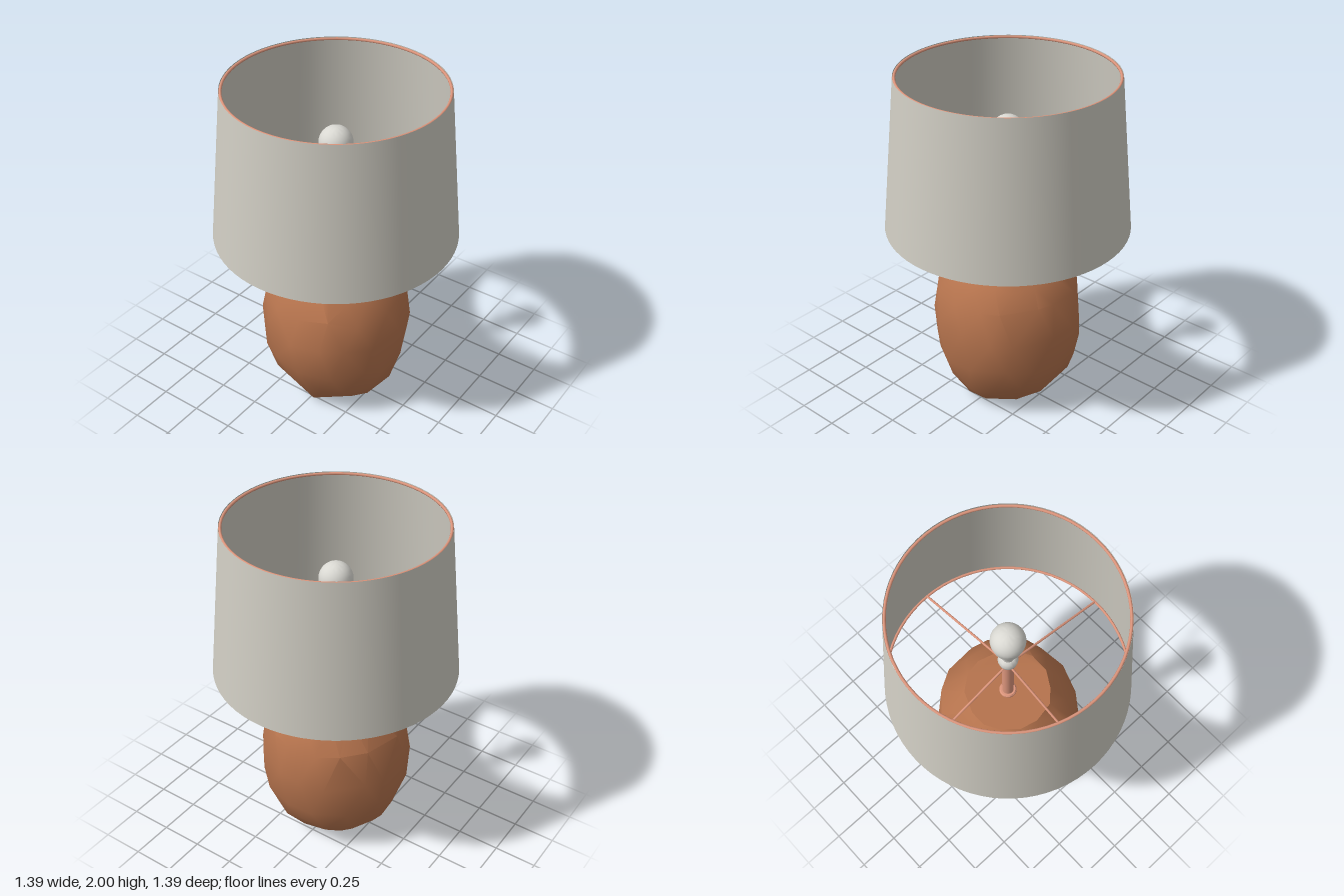
import * as THREE from 'three';
import { toCreasedNormals } from 'three/addons/utils/BufferGeometryUtils.js';
import { ConvexGeometry } from 'three/addons/geometries/ConvexGeometry.js';

export function createModel() {
  const lamp = new THREE.Group();
  lamp.name = 'tableLamp';

  const material = (name, color, side = THREE.FrontSide) => {
    const m = new THREE.MeshStandardMaterial({ color, side });
    m.name = name;
    return m;
  };
  const clay = material('terracotta', 0xb5734d);
  const copper = material('copper', 0xdc957c);
  const linen = material('linen', 0xcfccc2, THREE.DoubleSide);
  const glass = material('frostedGlass', 0xd9d8d2);

  const add = (name, geometry, mat) => {
    const mesh = new THREE.Mesh(geometry, mat);
    mesh.name = name;
    lamp.add(mesh);
    return mesh;
  };
  const lathe = (points, segments) =>
    new THREE.LatheGeometry(points.map(([r, y]) => new THREE.Vector2(r, y)), segments);

  // Small seeded generator for the hand-carved irregularity
  let seed = 11;
  const jitter = (amount) => {
    seed = (seed * 16807) % 2147483647;
    return (seed / 2147483647 - 0.5) * 2 * amount;
  };

  // Carved body: irregular rings of points wrapped in a faceted skin
  const rings = [
    [0.215, 0], [0.285, 0.06], [0.37, 0.17], [0.43, 0.34],
    [0.437, 0.53], [0.405, 0.72], [0.335, 0.83], [0.25, 0.92],
  ];
  const points = [];
  rings.forEach(([radius, y], i) => {
    const end = i === 0 || i === rings.length - 1;
    const count = end ? 14 : 15;
    for (let k = 0; k < count; k++) {
      const a = ((k + (i % 2) * 0.5 + jitter(0.22)) / count) * Math.PI * 2;
      const r = radius + jitter(0.008);
      const h = end ? y : y + jitter(0.03);
      points.push(new THREE.Vector3(Math.cos(a) * r, h, Math.sin(a) * r));
    }
  });
  add('body', toCreasedNormals(new ConvexGeometry(points), 0.6), clay);

  // Stem with its collar
  add('collar', toCreasedNormals(lathe([
    [0, 0.915], [0.05, 0.915], [0.05, 0.932], [0.043, 0.94], [0, 0.94],
  ], 32), 0.5), copper);
  add('stem', new THREE.CylinderGeometry(0.033, 0.033, 0.43, 32).translate(0, 1.145, 0), copper);

  // Socket and bulb
  add('socket', toCreasedNormals(lathe([
    [0, 1.35], [0.034, 1.352], [0.05, 1.37], [0.056, 1.4], [0.05, 1.43], [0.035, 1.447], [0, 1.447],
  ], 32), 0.9), glass);
  const bulb = [[0, 1.445], [0.036, 1.445], [0.04, 1.48], [0.058, 1.53], [0.08, 1.59]];
  for (let i = 0; i <= 10; i++) {
    const a = -0.4 + (i / 10) * (Math.PI / 2 + 0.4);
    bulb.push([Math.max(0, 0.095 * Math.cos(a)), 1.665 + 0.095 * Math.sin(a)]);
  }
  add('bulb', toCreasedNormals(lathe(bulb, 32), 0.9), glass);

  // Open tapered shade
  const bottom = 1.11, top = 2, bottomRadius = 0.695, topRadius = 0.608;
  add('shade', lathe([[bottomRadius, bottom], [topRadius, top]], 72), linen);

  // Wire rings inside both rims
  const ring = (name, radius, y) => add(name,
    new THREE.TorusGeometry(radius, 0.008, 8, 72).rotateX(Math.PI / 2).translate(0, y, 0), copper);
  ring('bottomRing', bottomRadius - 0.009, bottom + 0.009);
  ring('topRing', topRadius - 0.009, top - 0.009);

  // Four spokes falling from the stem to the bottom ring
  for (let i = 0; i < 4; i++) {
    const a = (i * Math.PI) / 2;
    const path = new THREE.LineCurve3(
      new THREE.Vector3(0, 1.33, 0),
      new THREE.Vector3(Math.cos(a) * 0.686, 1.12, Math.sin(a) * 0.686),
    );
    add('spoke', new THREE.TubeGeometry(path, 1, 0.007, 8), copper);
  }

  return lamp;
}
